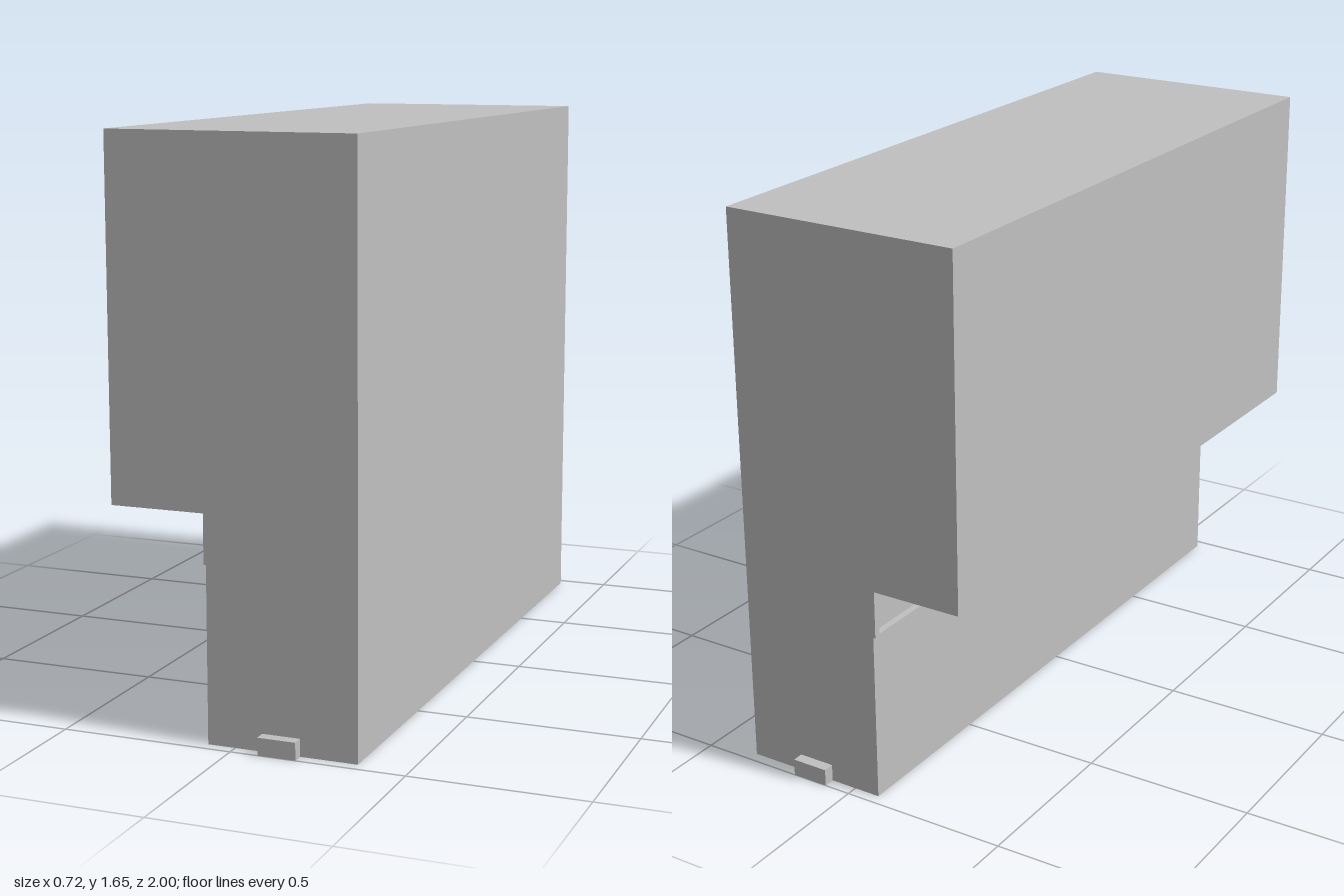
import * as THREE from 'three';

const T = 0.02; // sheet thickness
const L = -0.36, R = 0.355, H = 1.65, Z = 0.967;

export function createModel() {
  const model = new THREE.Group();
  const grey = new THREE.MeshStandardMaterial({ color: 0xc0c0c0 });
  grey.name = 'plain grey';

  const add = (name, geometry, x = 0, y = 0, z = 0) => {
    const mesh = new THREE.Mesh(geometry, grey);
    mesh.name = name;
    mesh.position.set(x, y, z);
    model.add(mesh);
  };
  // Box given by its limits in x and y, spanning between the end walls
  const panel = (name, x0, x1, y0, y1) =>
    add(name, new THREE.BoxGeometry(x1 - x0, y1 - y0, 2 * (Z - T)), (x0 + x1) / 2, (y0 + y1) / 2, 0);

  // Shell panels: open below, with a slot under the overhang
  panel('topPanel', L, R, H - T, H);
  panel('leftWall', R - T, R, 0, H - T);
  panel('upperRightWall', L, L + T, 0.64, H - T);
  panel('lowerRightWall', -0.08, -0.08 + T, 0, 0.5);

  // End walls with the stepped outline, notched where the clips pass through
  const outline = new THREE.Shape([
    [-0.08, 0], [0.08, 0], [0.08, 0.05], [0.19, 0.05], [0.19, 0], [R, 0], [R, H], [L, H],
    [L, 0.64], [-0.087, 0.64], [-0.087, 0.5], [-0.08, 0.5],
  ].map(([x, y]) => new THREE.Vector2(x, y)));
  const endWall = new THREE.ExtrudeGeometry(outline, { depth: T, bevelEnabled: false });
  add('frontWall', endWall, 0, 0, Z - T);
  add('backWall', endWall, 0, 0, -Z);

  // Clip blocks with a blind screw hole from below
  const h = 0.055;
  const square = new THREE.Shape([[-h, -h], [h, -h], [h, h], [-h, h]].map(([x, y]) => new THREE.Vector2(x, y)));
  square.holes.push(new THREE.Path().absarc(0, 0, 0.02, 0, Math.PI * 2, true));
  const block = new THREE.ExtrudeGeometry(square, { depth: 0.04, bevelEnabled: false, curveSegments: 16 });
  block.rotateX(-Math.PI / 2);
  const cap = new THREE.BoxGeometry(2 * h, 0.01, 2 * h);
  for (const [side, s] of [['front', 1], ['back', -1]]) {
    add(side + 'Clip', block, 0.135, 0, s * 0.945);
    add(side + 'ClipCap', cap, 0.135, 0.045, s * 0.945);
  }
  return model;
}
